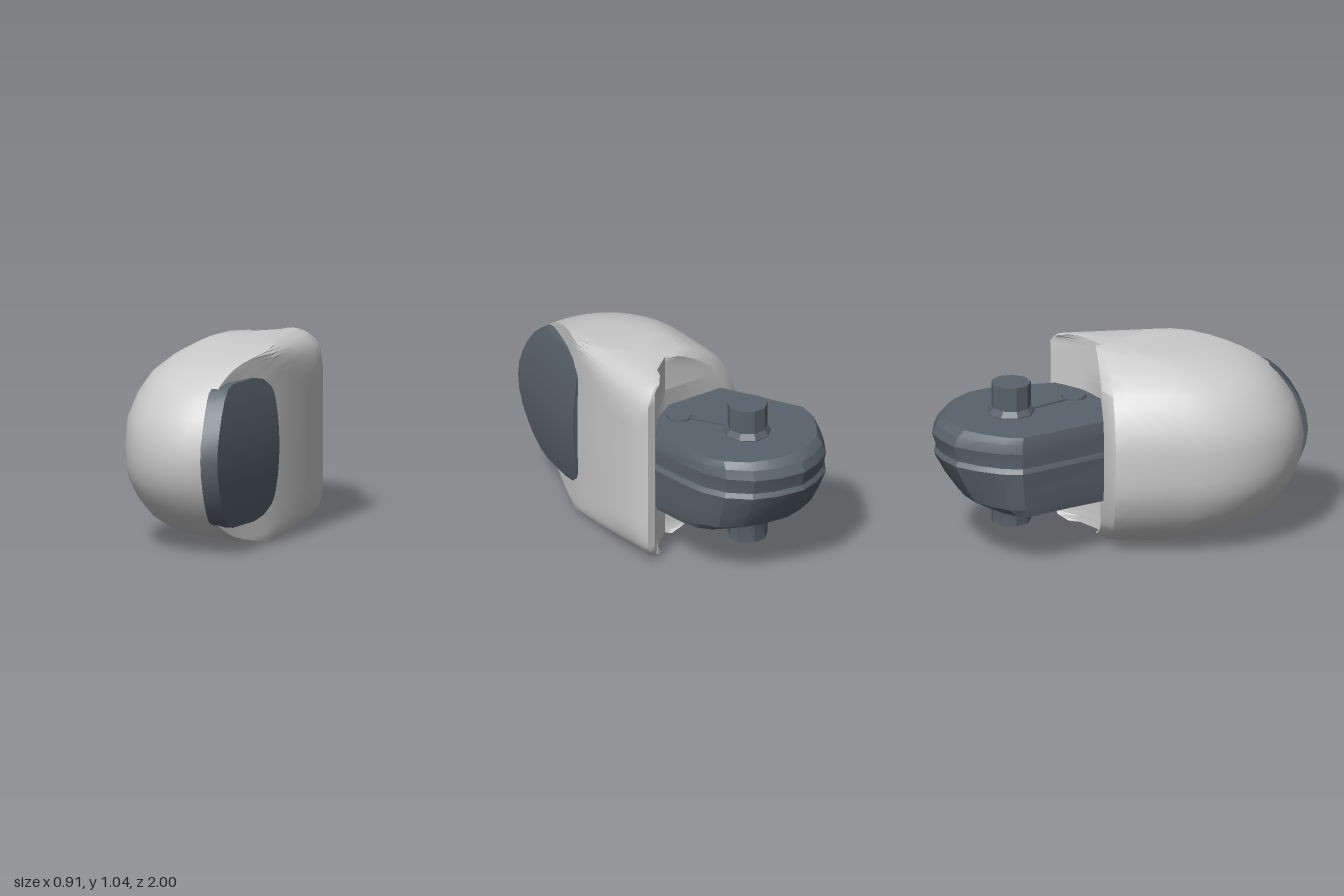
import * as THREE from 'three';
import { toCreasedNormals } from 'three/addons/utils/BufferGeometryUtils.js';

const light = new THREE.MeshStandardMaterial({ color: 0xcccccc, side: THREE.DoubleSide });
const dark = new THREE.MeshStandardMaterial({ color: 0x59636b, side: THREE.DoubleSide });

// Linear interpolation through [input, output] pairs
function table(pairs, v) {
  if (v <= pairs[0][0]) return pairs[0][1];
  for (let i = 1; i < pairs.length; i++) {
    const [a, fa] = pairs[i - 1], [b, fb] = pairs[i];
    if (v <= b) return fa + (fb - fa) * (v - a) / (b - a);
  }
  return pairs[pairs.length - 1][1];
}

// Minimum with a rounded corner
function softMin(a, b, k) {
  const h = Math.max(k - Math.abs(a - b), 0) / k;
  return Math.min(a, b) - h * h * k / 4;
}

// Skin closed rings (clockwise from above, bottom ring first) and cap both ends
function loft(rings, crease) {
  const n = rings[0].length, pos = rings.flat(2), index = [];
  for (let j = 0; j < rings.length - 1; j++) for (let i = 0; i < n; i++) {
    const a = j * n + i, b = j * n + (i + 1) % n;
    index.push(a, a + n, b, b, a + n, b + n);
  }
  [0, rings.length - 1].forEach((j, end) => {
    const c = pos.length / 3, ring = rings[j];
    for (let k = 0; k < 3; k++) pos.push(ring.reduce((s, p) => s + p[k], 0) / n);
    for (let i = 0; i < n; i++) {
      const a = j * n + i, b = j * n + (i + 1) % n;
      index.push(c, end ? b : a, end ? a : b);
    }
  });
  const g = new THREE.BufferGeometry();
  g.setAttribute('position', new THREE.Float32BufferAttribute(pos, 3));
  g.setIndex(index);
  return toCreasedNormals(g, crease);
}

// Domed housing, as horizontal slices
function housing() {
  const side = [[-0.32, 0.44], [-0.28, 0.46], [-0.15, 0.455], [0.1, 0.415], [0.35, 0.35], [0.65, 0.215], [0.96, 0.11]];
  const front = [[0, 0.97], [0.12, 0.955], [0.22, 0.91], [0.31, 0.85], [0.38, 0.78], [0.43, 0.69], [0.46, 0.61], [0.49, 0.48], [0.51, 0.33], [0.52, 0.2]];
  const left = [[0, -0.42], [0.15, -0.41], [0.27, -0.365], [0.37, -0.3], [0.45, -0.2], [0.5, -0.1], [0.52, -0.03]];
  const right = [[0.32, 0.48], [0.38, 0.46], [0.43, 0.435], [0.48, 0.39], [0.505, 0.35], [0.52, 0.31]];
  const back = [[0.44, -0.32], [0.5, -0.29], [0.52, -0.24]];
  const levels = [0, 0.08, 0.15, 0.21, 0.27, 0.32, 0.37, 0.41, 0.44, 0.465, 0.485, 0.5, 0.512, 0.52];
  const all = [...levels.slice(1).reverse().map(v => -v), ...levels];
  return loft(all.map(d => {
    const h = Math.abs(d), y = 0.53 + d;
    const F = table(front, h), L = table(left, h), R = table(right, h), B = table(back, h);
    const pts = [];
    for (let i = 0; i <= 10; i++) {
      const z = -0.28 + (F + 0.28) * i / 10;
      pts.push([softMin(table(side, z), R, 0.06), z]);
    }
    const [xr] = pts[10], zc = 0.36 * F;
    for (let i = 1; i <= 12; i++) {
      const t = i / 12 * Math.PI / 2;
      pts.push([xr - (xr - L) * Math.sin(t) ** 0.9, zc + (F - zc) * Math.max(0, Math.cos(t)) ** 0.9]);
    }
    pts.push([L + 0.02, 0], [L + 0.04, -0.07], [L + 0.13, -0.12], [0.12, -0.09], [0.25, -0.18]);
    pts.push([Math.min(0.38, R - 0.03), -0.32], [Math.min(0.43, R - 0.01), -0.32]);
    return pts.map(([x, z]) => [x, y, Math.max(z, B)]);
  }), 0.7);
}

// Wedge-shaped plate bulging from the slanted side, as horizontal slices
function sidePlate() {
  const rear = [[0, 0.35], [0.27, 0.35], [0.32, 0.37], [0.36, 0.43], [0.38, 0.52]];
  const front = [[0, 1], [0.08, 0.99], [0.16, 0.96], [0.24, 0.915], [0.31, 0.86], [0.36, 0.8], [0.38, 0.74]];
  const levels = [0, 0.08, 0.16, 0.24, 0.28, 0.31, 0.34, 0.36, 0.38];
  const all = [...levels.slice(1).reverse().map(v => -v), ...levels];
  return loft(all.map(d => {
    const h = Math.abs(d), y = 0.53 + d, a = table(rear, h), b = table(front, h);
    const outer = [], inner = [];
    for (let i = 0; i <= 8; i++) {
      const z = a + (b - a) * i / 8, t = (z - 0.35) / 0.65;
      const x = 0.38 - 0.17 * t - 0.05 * (h / 0.38) ** 2;
      outer.push([x, y, z]);
      inner.unshift([Math.min(Math.max(0.12, 0.35 - 0.32 * t), x - 0.02), y, z]);
    }
    return [...outer, ...inner];
  }), 0.5);
}

// Teardrop hinge block with a shallow waist and a sloping rear underside
function hingeBlock() {
  const plan = [[-0.45, -0.57], [-0.43, -0.68], [-0.37, -0.8], [-0.29, -0.91], [-0.18, -0.97], [-0.07, -1],
    [0.08, -0.97], [0.2, -0.91], [0.3, -0.8], [0.35, -0.67], [0.37, -0.5], [0.38, -0.3], [0.28, -0.18],
    [0, -0.04], [-0.23, -0.08], [-0.34, -0.32]];
  // height, outline scale, rear limit
  const layers = [[0.31, 0.93, -0.76], [0.35, 0.96, -0.86], [0.45, 0.98, -0.93], [0.56, 1.01, -0.99],
    [0.585, 0.97, -0.975], [0.61, 0.97, -0.98], [0.67, 0.99, -1], [0.72, 0.97, -0.975], [0.755, 0.94, -0.93]];
  const g = loft(layers.map(([y, s, rear]) => plan.map(([x, z]) => [
    -0.03 + (x + 0.03) * s, y,
    z < -0.5 ? -0.5 + (z + 0.5) * (-0.5 - rear) / 0.5 : z,
  ])), 0.3);
  return g;
}

export function createModel() {
  const model = new THREE.Group();
  const add = (name, geometry, material, x = 0, y = 0, z = 0) => {
    const m = new THREE.Mesh(geometry, material);
    m.name = name;
    m.position.set(x, y, z);
    model.add(m);
    return m;
  };
  add('housing', housing(), light);
  add('sidePlate', sidePlate(), dark);
  add('hingeBlock', hingeBlock(), dark);

  // Pivot pin flaring where it meets the block
  const pin = [[0, 0.15], [0.105, 0.15], [0.105, 0.27], [0.125, 0.305], [0.125, 0.76], [0.105, 0.79], [0.105, 0.92], [0, 0.92]];
  const pinGeo = new THREE.LatheGeometry(pin.map(([r, y]) => new THREE.Vector2(r, y)), 9);
  add('pivotPin', toCreasedNormals(pinGeo, 0.5), dark, -0.03, 0, -0.58);

  // Small stop on top of the block with its raised rib
  add('stop', toCreasedNormals(new THREE.CylinderGeometry(0.065, 0.075, 0.08, 8), 0.8), dark, 0.14, 0.73, -0.23);
  const rib = add('stopRib', new THREE.BoxGeometry(0.03, 0.03, 0.24), dark, 0.06, 0.75, -0.36);
  rib.rotation.y = 0.5;
  return model;
}
